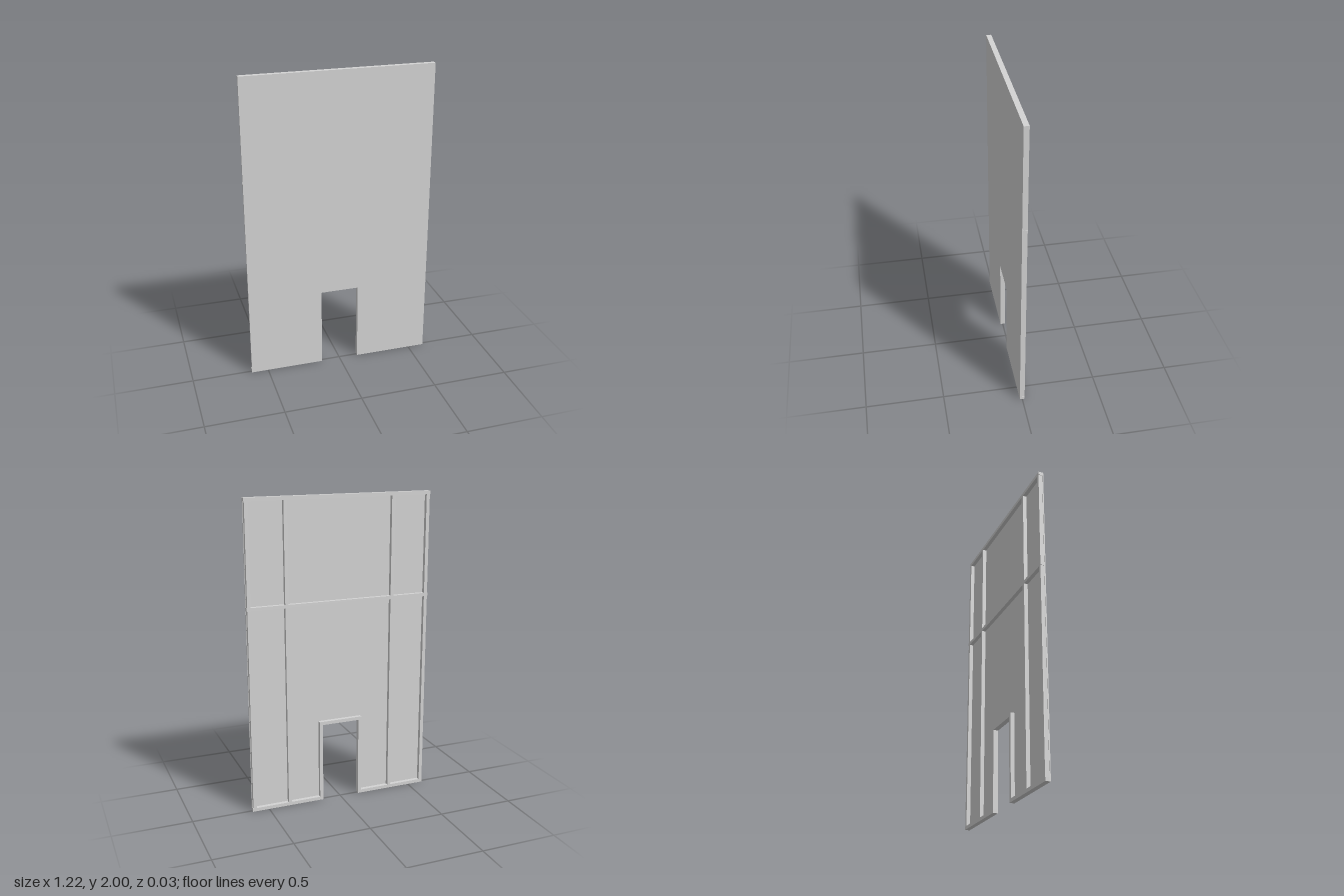
import * as THREE from 'three';

const W = 1.219, H = 2, D = 0.032;   // overall wall size
const SKIN = 0.007;                  // front sheet thickness
const BAR = 0.022;                   // frame member width
const INSET = 0.003;                 // edge studs sit just inside the rail ends
const DOOR_W = 0.25, DOOR_H = 0.527;
const STUD_X = 0.355, RAIL_Y = 1.333;

export function createModel() {
  const group = new THREE.Group();
  const grey = new THREE.MeshStandardMaterial({ color: 0xd4d4d4 });
  grey.name = 'lightGrey';
  const hw = W / 2, hd = DOOR_W / 2;

  // Front sheet with the doorway cut out of its lower edge
  const outline = new THREE.Shape([
    [-hw, 0], [-hd, 0], [-hd, DOOR_H], [hd, DOOR_H],
    [hd, 0], [hw, 0], [hw, H], [-hw, H],
  ].map(([x, y]) => new THREE.Vector2(x, y)));
  const sheet = new THREE.Mesh(
    new THREE.ExtrudeGeometry(outline, { depth: SKIN, bevelEnabled: false }), grey);
  sheet.name = 'frontSheet';
  sheet.position.z = D / 2 - SKIN;
  group.add(sheet);

  // Frame member behind the sheet, given by its extents
  const depth = D - SKIN;
  function bar(name, x0, x1, y0, y1) {
    const mesh = new THREE.Mesh(new THREE.BoxGeometry(x1 - x0, y1 - y0, depth), grey);
    mesh.name = name;
    mesh.position.set((x0 + x1) / 2, (y0 + y1) / 2, -D / 2 + depth / 2);
    group.add(mesh);
  }

  // Full-width horizontals
  const railLow = RAIL_Y - BAR / 2, railHigh = RAIL_Y + BAR / 2;
  bar('topRail', -hw, hw, H - BAR, H);
  bar('middleRail', -hw, hw, railLow, railHigh);
  bar('doorLintel', -hd - BAR, hd + BAR, DOOR_H, DOOR_H + BAR);

  // Uprights and sills, mirrored left and right
  for (const [side, s] of [['left', 1], ['right', -1]]) {
    const pair = (name, a, b, y0, y1) =>
      bar(side + name, Math.min(s * a, s * b), Math.max(s * a, s * b), y0, y1);
    pair('BottomRail', hd, hw, 0, BAR);
    pair('DoorJamb', hd, hd + BAR, BAR, DOOR_H);
    for (const [level, y0, y1] of [['Lower', BAR, railLow], ['Upper', railHigh, H - BAR]]) {
      pair(level + 'EdgeStud', hw - INSET - BAR, hw - INSET, y0, y1);
      pair(level + 'InnerStud', STUD_X - BAR / 2, STUD_X + BAR / 2, y0, y1);
    }
  }
  return group;
}
